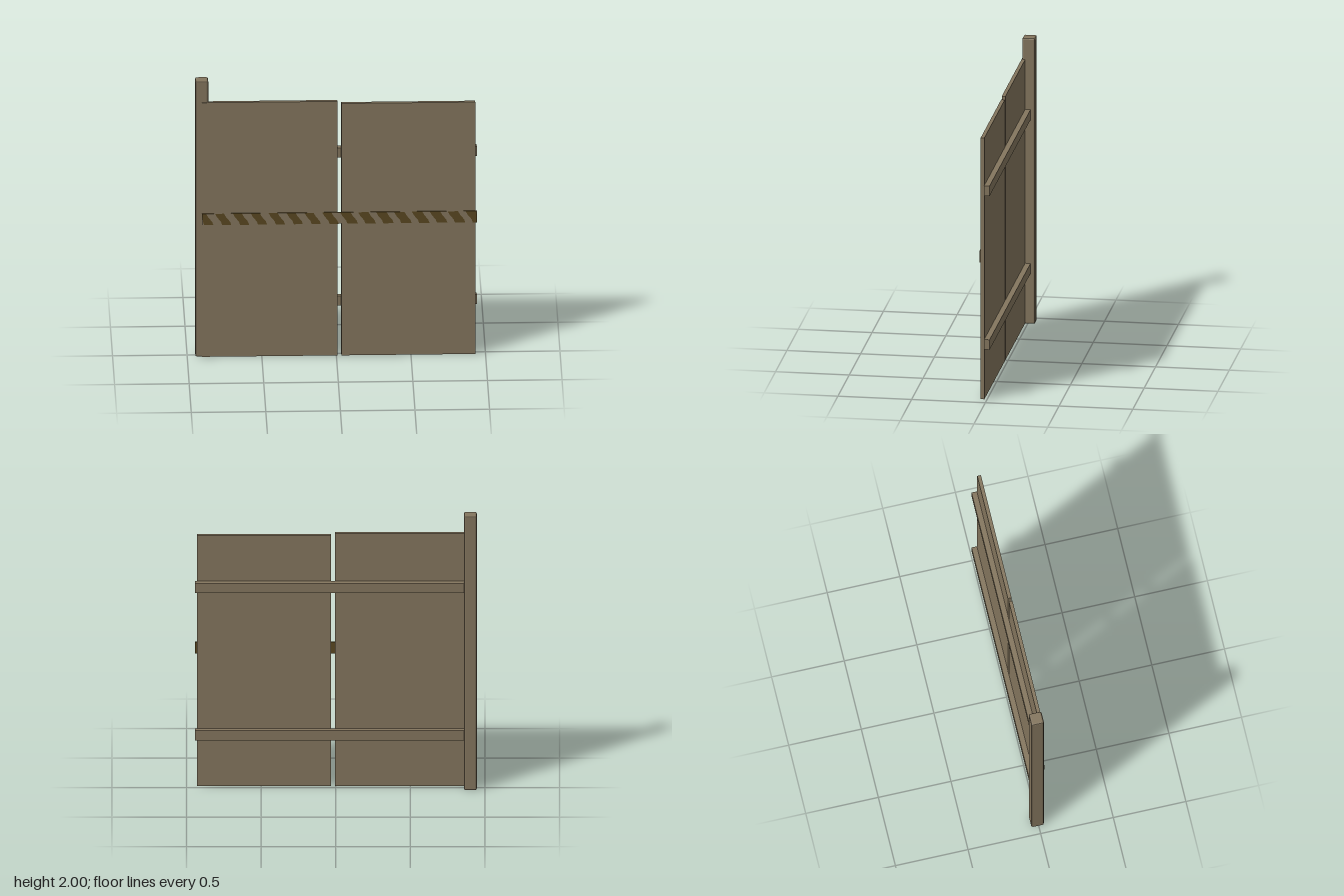
import * as THREE from 'three';
import { RoundedBoxGeometry } from 'three/addons/geometries/RoundedBoxGeometry.js';

export function createModel() {
  const gate = new THREE.Group();
  gate.name = 'boardedGate';

  const wood = new THREE.MeshStandardMaterial({ color: 0x84765e });
  wood.name = 'weatheredBrown';
  const dark = new THREE.MeshStandardMaterial({ color: 0x5a4821 });
  dark.name = 'darkStripe';

  const add = (name, geometry, material) => {
    const mesh = new THREE.Mesh(geometry, material);
    mesh.name = name;
    gate.add(mesh);
    return mesh;
  };

  // Box given by its lower and upper corner
  const block = (name, [x0, y0, z0], [x1, y1, z1], material = wood) => {
    const mesh = add(name, new THREE.BoxGeometry(x1 - x0, y1 - y0, z1 - z0), material);
    mesh.position.set((x0 + x1) / 2, (y0 + y1) / 2, (z0 + z1) / 2);
    return mesh;
  };

  // Chamfered post
  const postGeometry = new RoundedBoxGeometry(0.087, 2, 0.087, 1, 0.011);
  postGeometry.computeVertexNormals();
  add('post', postGeometry, wood).position.set(-0.902, 1, -0.0065);

  // Two boards with a narrow gap between them
  block('rightBoard', [-0.9, 0.003, 0.017], [0.006, 1.848, 0.042]);
  block('leftBoard', [0.033, 0.003, 0.017], [0.931, 1.832, 0.042]);

  // Horizontal rails behind the boards
  block('lowerRail', [-0.9, 0.354, -0.02], [0.942, 0.424, 0.017]);
  block('upperRail', [-0.9, 1.43, -0.02], [0.942, 1.5, 0.017]);

  // Warning band across the front: plain face, dark edges and back
  const left = -0.9, right = 0.942, bottom = 0.962, top = 1.044;
  block('warningBand', [left, bottom, 0.043], [right, top, 0.0485],
    [dark, dark, dark, dark, wood, dark]);

  // Slanted stripes with a slight bend, clipped to the ends of the band
  const clip = (x) => Math.min(right, Math.max(left, x));
  const stripes = [];
  for (let i = 0; i < 16; i++) {
    const x = -0.934 + i * 0.12;
    const w = x < 0 ? 0.061 : 0.07;
    const edge = [[0, top], [0.012, 1.02], [0.04, 0.985], [0.048, bottom]];
    const outline = [
      ...edge.map(([dx, y]) => new THREE.Vector2(clip(x + dx), y)),
      ...edge.reverse().map(([dx, y]) => new THREE.Vector2(clip(x + w + dx), y)),
    ];
    stripes.push(new THREE.Shape(outline));
  }
  add('warningStripes', new THREE.ShapeGeometry(stripes), dark).position.z = 0.05;

  return gate;
}
